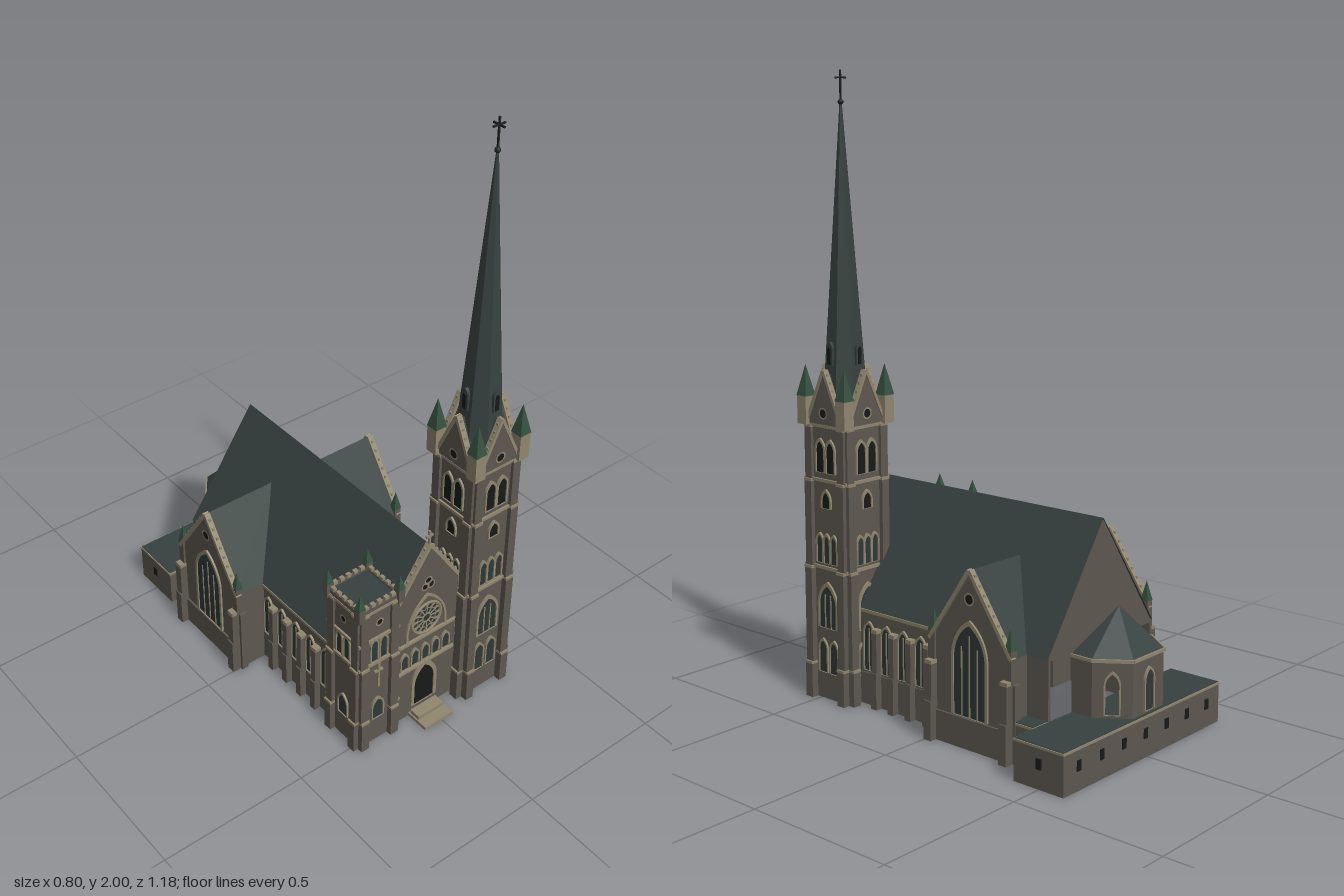
import * as THREE from 'three';

const mat = (name, color, opts = {}) => {
  const m = new THREE.MeshStandardMaterial({ color, side: THREE.DoubleSide, ...opts });
  m.name = name;
  return m;
};

export function createModel() {
  const stone = mat('stone', 0x5f5851), trim = mat('pale stone', 0x91876f);
  const slate = mat('slate', 0x36413f, { flatShading: true }), copper = mat('copper', 0x34503f, { flatShading: true });
  const glass = mat('glass', 0x2f3938), dark = mat('dark opening', 0x181a1a), iron = mat('iron', 0x1f2322);
  const model = new THREE.Group();
  const CX = -0.015, HALF = 0.2525, EAVE = 0.32, RIDGE = 0.69, FRONT = 0.505, BACK = -0.405;

  // ---- helpers ----
  const group = (name, parent, x = 0, y = 0, z = 0, ry = 0) => {
    const g = new THREE.Group();
    g.name = name;
    g.position.set(x, y, z);
    g.rotation.y = ry;
    parent.add(g);
    return g;
  };
  const add = (p, name, geo, m, x = 0, y = 0, z = 0) => {
    const mesh = new THREE.Mesh(geo, m);
    mesh.name = name;
    mesh.position.set(x, y, z);
    p.add(mesh);
    return mesh;
  };
  // box given by its base height
  const box = (p, name, m, x, y, z, w, h, d) => add(p, name, new THREE.BoxGeometry(w, h, d), m, x, y + h / 2, z);
  const poly = (pts) => new THREE.Shape(pts.map(([x, y]) => new THREE.Vector2(x, y)));
  const plate = (shape, depth) => new THREE.ExtrudeGeometry(shape, { depth, bevelEnabled: false, curveSegments: 5 });
  // surface from flat quads or triangles of corner points
  const surface = (faces) => {
    const v = [];
    for (const f of faces) for (let i = 1; i < f.length - 1; i++) v.push(...f[0], ...f[i], ...f[i + 1]);
    const g = new THREE.BufferGeometry();
    g.setAttribute('position', new THREE.Float32BufferAttribute(v, 3));
    g.computeVertexNormals();
    return g;
  };
  const arch = (w, h, Path = THREE.Shape) => {
    const s = new Path(), r = w / 2, sp = h - w * 0.866;
    s.moveTo(-r, 0);
    s.lineTo(r, 0);
    s.lineTo(r, sp);
    s.absarc(-r, sp, w, 0, Math.PI / 3, false);
    s.absarc(r, sp, w, Math.PI * 2 / 3, Math.PI, false);
    s.lineTo(-r, 0);
    return s;
  };
  // pointed window facing +z with surround and mullions
  const lancet = (p, x, y, z, w, h, bars = 0, edge = 0.005, m = glass) => {
    const g = group('window', p, x, y, z);
    const rim = arch(w + 2 * edge, h + edge * 1.8);
    rim.holes.push(arch(w, h, THREE.Path));
    add(g, 'windowSurround', plate(rim, 0.007), trim);
    add(g, 'windowGlass', plate(arch(w, h), 0.003), m);
    for (let i = 1; i <= bars; i++) {
      const bx = -w / 2 + (w * i) / (bars + 1);
      box(g, 'mullion', trim, bx, 0, 0.003, 0.004, h * (0.95 - 0.5 * Math.abs(bx) / w) - w * 0.15, 0.005);
    }
  };
  const roundel = (p, x, y, z, r) => {
    add(p, 'roundelRim', new THREE.RingGeometry(r, r + 0.005, 16), trim, x, y, z + 0.005);
    add(p, 'roundelGlass', new THREE.CircleGeometry(r, 16), dark, x, y, z + 0.004);
  };
  const pinnacle = (p, x, y, z, w, h, tip, m = stone) => {
    const g = group('pinnacle', p, x, y, z);
    box(g, 'pinnacleBlock', m, 0, 0, 0, w, h, w);
    const c = add(g, 'pinnacleCap', new THREE.ConeGeometry(w * 0.75, tip, 4), copper, 0, h + tip / 2, 0);
    c.rotation.y = Math.PI / 4;
  };
  // pale coping with small crockets on both slopes of a gable
  const coping = (p, half, y0, y1, z, t = 0.012, n = 8) => {
    const len = Math.hypot(half, y1 - y0), a = Math.atan2(y1 - y0, half);
    for (const s of [-1, 1]) {
      const c = add(p, 'gableCoping', new THREE.BoxGeometry(len, t, 0.02), trim, s * half / 2, (y0 + y1) / 2, z);
      c.rotation.z = -s * a;
      for (let i = 1; i < n; i++)
        box(p, 'crocket', trim, s * half * i / n, y1 - (y1 - y0) * i / n + t * 0.5, z, 0.006, 0.009, 0.008);
    }
  };

  // ---- nave: open shell of walls and a steep roof ----
  const nave = group('nave', model);
  const house = (half, eave, top) => poly([[-half, 0], [half, 0], [half, eave], [0, top], [-half, eave]]);
  add(nave, 'frontWall', plate(house(HALF, EAVE, RIDGE), 0.01), stone, CX, 0, FRONT - 0.01);
  add(nave, 'backGable', plate(poly([[-HALF, EAVE - 0.01], [HALF, EAVE - 0.01], [0, RIDGE - 0.005]]), 0.005), stone, CX, 0, BACK);
  const slope = (s) => [[CX, RIDGE, FRONT - 0.004], [CX + s * (HALF + 0.003), EAVE - 0.004, FRONT - 0.004],
    [CX + s * (HALF + 0.003), EAVE - 0.004, BACK], [CX, RIDGE, BACK]];
  add(nave, 'naveRoof', surface([slope(1), slope(-1).reverse()]), slate);
  for (const s of [-1, 1]) {
    const x = CX + s * (HALF - 0.005);
    box(nave, 'sideWall', stone, x, 0, FRONT / 2, 0.01, EAVE, FRONT);
    box(nave, 'rearSideWall', stone, x, 0, -0.365, 0.01, EAVE, 0.08);
    box(nave, 'cornice', trim, x + s * 0.004, 0.305, 0.185, 0.012, 0.01, 0.37);
    box(nave, 'plinth', stone, x + s * 0.003, 0, 0.185, 0.012, 0.105, 0.37);
    const side = group('naveSide', nave, CX + s * HALF, 0, 0, s * Math.PI / 2);
    for (const z of [0.33, 0.2525, 0.1775, 0.1025, 0.03]) lancet(side, -s * z, 0.115, 0, 0.042, 0.155, 1);
    for (const z of [0.29, 0.215, 0.14, 0.065]) {
      box(side, 'buttress', stone, -s * z, 0, 0.01, 0.022, 0.25, 0.026);
      box(side, 'buttressFoot', stone, -s * z, 0, 0.012, 0.024, 0.12, 0.03);
      box(side, 'buttressCap', trim, -s * z, 0.25, 0.009, 0.024, 0.012, 0.026);
    }
  }

  // ---- transepts ----
  const TZ = -0.1625, TH = 0.1625, TE = 0.315, TR = 0.553;
  for (const [s, xo] of [[1, 0.305], [-1, -0.37]]) {
    const t = group('transept', model), xe = CX + s * HALF, xi = CX + s * 0.095;
    for (const z of [-0.005, -0.32]) box(t, 'transeptSideWall', stone, (xo + xe) / 2, 0, z, Math.abs(xo - xe), TE, 0.01);
    const f = (d) => [[xo, TR, TZ], [xo, TE, TZ + d], [xe, TE, TZ + d], [xi, TR, TZ]];
    const faces = [f(TH), f(-TH)];
    faces[s > 0 ? 0 : 1].reverse();
    faces.forEach((q) => q.reverse());
    add(t, 'transeptRoof', surface(faces), slate);
    const g = group('transeptFront', t, xo, 0, TZ, s * Math.PI / 2);
    add(g, 'transeptWall', plate(house(TH, TE, TR), 0.01), stone, 0, 0, -0.01);
    coping(g, TH, TE, TR, -0.002, 0.012, 9);
    lancet(g, 0, 0.1, 0, 0.125, 0.285, 3, 0.009);
    roundel(g, 0, 0.465, 0, 0.015);
    box(g, 'transeptPlinth', stone, 0, 0, 0.002, 0.32, 0.095, 0.01);
    for (const k of [-1, 1]) {
      box(g, 'cornerButtress', stone, k * 0.15, 0, 0.008, 0.028, 0.24, 0.036);
      box(g, 'cornerButtressFoot', stone, k * 0.15, 0, 0.014, 0.03, 0.125, 0.034);
      box(g, 'buttressCap', trim, k * 0.15, 0.24, 0.008, 0.028, 0.012, 0.034);
      box(g, 'returnButtress', stone, k * 0.166, 0, -0.012, 0.016, 0.24, 0.024);
      pinnacle(g, k * 0.152, 0.24, -0.006, 0.026, 0.1, 0.065);
    }
  }

  // ---- west front between the towers ----
  const front = group('westFront', model, CX, 0, FRONT);
  coping(front, 0.13, 0.5, 0.69, 0.0, 0.012, 8);
  box(front, 'gableCrossPost', trim, 0, 0.685, 0, 0.007, 0.055, 0.007);
  box(front, 'gableCrossArm', trim, 0, 0.718, 0, 0.026, 0.007, 0.007);
  for (const y of [0.205, 0.32]) box(front, 'stringCourse', trim, 0, y, 0.003, 0.24, 0.008, 0.012);
  for (let i = -2; i <= 2; i++) lancet(front, i * 0.042, 0.222, 0, 0.026, 0.06);
  lancet(front, 0, 0.04, 0, 0.08, 0.155, 0, 0.012, dark);
  const roseArch = arch(0.165, 0.165);
  roseArch.holes.push(arch(0.148, 0.155, THREE.Path));
  add(front, 'roseArch', plate(roseArch, 0.006), trim, 0, 0.33, 0);
  const rose = group('roseWindow', front, 0, 0.395, 0.003);
  add(rose, 'roseGlass', new THREE.CircleGeometry(0.058, 32), glass);
  add(rose, 'roseRim', new THREE.TorusGeometry(0.058, 0.005, 6, 32), trim);
  add(rose, 'roseHub', new THREE.TorusGeometry(0.016, 0.003, 6, 16), trim);
  for (let i = 0; i < 12; i++) {
    const a = i * Math.PI / 6;
    add(rose, 'roseSpoke', new THREE.BoxGeometry(0.04, 0.004, 0.004), trim, Math.cos(a) * 0.037, Math.sin(a) * 0.037, 0).rotation.z = a;
    add(rose, 'rosePetal', new THREE.TorusGeometry(0.009, 0.002, 4, 10), trim, Math.cos(a + 0.26) * 0.045, Math.sin(a + 0.26) * 0.045, 0);
  }
  for (let i = 0; i < 3; i++) {
    const a = Math.PI / 2 + i * Math.PI * 2 / 3;
    roundel(front, Math.cos(a) * 0.013, 0.535 + Math.sin(a) * 0.013, 0, 0.011);
  }
  box(front, 'lowerStep', trim, 0, 0, 0.042, 0.115, 0.012, 0.084);
  box(front, 'upperStep', trim, 0, 0.012, 0.025, 0.105, 0.014, 0.04);

  // ---- towers ----
  const tower = (name, x, z, half, h, bands, steps, decorate) => {
    const t = group(name, model, x, 0, z);
    box(t, 'towerBody', stone, 0, 0, 0, half * 2, h, half * 2);
    for (const y of bands) box(t, 'stringCourse', trim, 0, y, 0, half * 2 + 0.014, 0.01, half * 2 + 0.014);
    for (let k = 0; k < 4; k++) {
      const f = group('towerFace', t, 0, 0, 0, k * Math.PI / 2);
      for (const s of [-1, 1]) for (const [y0, y1, d] of steps) {
        box(f, 'towerButtress', stone, s * (half - 0.014), y0, half + d / 2, 0.03, y1 - y0, d);
        box(f, 'buttressCap', trim, s * (half - 0.014), y1 - 0.008, half + d / 2, 0.032, 0.009, d + 0.002);
      }
      decorate(f, k);
    }
    return t;
  };

  // tall tower with gables and spire
  const H = 0.0875;
  const tall = tower('tallTower', 0.205, 0.46, H, 0.93, [0.435, 0.72, 0.895],
    [[0, 0.12, 0.024], [0.12, 0.44, 0.019], [0.44, 0.725, 0.014], [0.725, 0.9, 0.01]], (f) => {
      for (const s of [-1, 1]) {
        lancet(f, s * 0.025, 0.09, H, 0.034, 0.105);
        lancet(f, s * 0.023, 0.75, H, 0.034, 0.1, 0, 0.006, dark);
      }
      lancet(f, 0, 0.24, H, 0.075, 0.14, 2, 0.008);
      for (let i = -1; i <= 1; i++) lancet(f, i * 0.032, 0.455, H, 0.024, 0.09);
      lancet(f, 0, 0.635, H, 0.034, 0.052, 0, 0.006, dark);
      // face gable with a small roof running back to the spire
      add(f, 'towerGable', plate(poly([[-0.08, 0.9], [0.08, 0.9], [0, 1.075]]), 0.008), stone, 0, 0, H - 0.002);
      add(f, 'towerGableRoof', plate(poly([[-0.075, 0.9], [0.075, 0.9], [0, 1.065]]), H - 0.002), slate);
      coping(f, 0.08, 0.905, 1.078, H, 0.01, 7);
      roundel(f, 0, 0.942, H + 0.006, 0.014);
      pinnacle(f, 0.088, 0.9, 0.088, 0.04, 0.09, 0.1, trim);
      // spire lucarne
      const l = group('lucarne', f, 0, 1.09, 0.045);
      add(l, 'lucarneBody', plate(arch(0.026, 0.075), 0.022), slate);
      add(l, 'lucarneOpening', plate(arch(0.014, 0.055), 0.003), dark, 0, 0.005, 0.021);
    });
  const spire = add(tall, 'spire', new THREE.CylinderGeometry(0.004, 0.0807, 1.0, 8), slate, 0, 1.4, 0);
  spire.rotation.y = Math.PI / 8;
  add(tall, 'finialBall', new THREE.SphereGeometry(0.009, 10, 8), iron, 0, 1.903, 0);
  box(tall, 'crossPost', iron, 0, 1.9, 0, 0.005, 0.1, 0.005);
  box(tall, 'crossArm', iron, 0, 1.974, 0, 0.044, 0.005, 0.005);
  box(tall, 'crossArm', iron, 0, 1.974, 0, 0.005, 0.005, 0.044);

  // low tower with battlements
  const L = 0.073;
  const low = tower('lowTower', -0.215, 0.443, L, 0.565, [0.335, 0.435, 0.55],
    [[0, 0.12, 0.019], [0.12, 0.34, 0.014], [0.34, 0.555, 0.009]], (f, k) => {
      lancet(f, 0, 0.1, L, 0.04, 0.08);
      for (const s of [-1, 1]) lancet(f, s * 0.018, 0.35, L, 0.024, 0.085);
      roundel(f, 0, 0.502, L, 0.01);
      if (k === 0) {
        box(f, 'wallCrossPost', trim, 0, 0.235, L + 0.004, 0.007, 0.1, 0.008);
        box(f, 'wallCrossArm', trim, 0, 0.298, L + 0.004, 0.032, 0.007, 0.008);
      }
      box(f, 'parapet', stone, 0, 0.56, L, 0.15, 0.018, 0.01);
      for (let i = -2; i <= 2; i++) box(f, 'merlon', trim, i * 0.026, 0.576, L, 0.015, 0.012, 0.012);
      pinnacle(f, L + 0.003, 0.545, L + 0.003, 0.024, 0.05, 0.048);
    });
  box(low, 'lowTowerRoof', slate, 0, 0.563, 0, 0.14, 0.006, 0.14);

  // ---- apse with open diagonal windows ----
  const apse = group('apse', model);
  const plan = [[-0.16, BACK], [-0.16, -0.48], [-0.09, -0.577], [0.06, -0.577], [0.13, -0.48], [0.13, BACK]];
  const apex = [CX, 0.434, -0.466], roof = [];
  for (let i = 0; i < 5; i++) {
    const [ax, az] = plan[i], [bx, bz] = plan[i + 1], len = Math.hypot(bx - ax, bz - az);
    const w = group('apseSide', apse, (ax + bx) / 2, 0, (az + bz) / 2, Math.atan2(bz - az, -(bx - ax)));
    const s = poly([[-len / 2, 0], [len / 2, 0], [len / 2, 0.31], [-len / 2, 0.31]]);
    if (i === 1 || i === 3) {
      const hole = new THREE.Path(arch(0.04, 0.125).getPoints(5).map((p) => p.add(new THREE.Vector2(0, 0.14))));
      s.holes.push(hole);
      const rim = arch(0.05, 0.134);
      rim.holes.push(arch(0.04, 0.125, THREE.Path));
      add(w, 'apseWindowSurround', plate(rim, 0.006), trim, 0, 0.14, 0);
    } else if (i === 2) lancet(w, 0, 0.14, 0, 0.04, 0.125);
    add(w, 'apseWall', new THREE.ShapeGeometry(s, 5), stone);
    box(w, 'apseCornice', trim, 0, 0.3, 0, len + 0.004, 0.01, 0.012);
    roof.push([apex, [bx, 0.31, bz], [ax, 0.31, az]]);
  }
  roof.push([apex, [-0.16, 0.31, BACK], [0.13, 0.31, BACK]]);
  add(apse, 'apseRoof', surface(roof), slate);

  // ---- low rear annex ----
  const annex = group('rearAnnex', model);
  for (const [x, z, w, d] of [[0.01, -0.4975, 0.77, 0.185], [0.27, -0.365, 0.07, 0.08]]) {
    box(annex, 'annexWalls', stone, x, 0, z, w - 0.004, 0.122, d - 0.004);
    box(annex, 'annexCoping', trim, x, 0.122, z, w, 0.007, d);
    box(annex, 'annexRoof', slate, x, 0.128, z, w - 0.007, 0.003, d - 0.007);
  }
  for (let i = -3; i <= 3; i++) box(annex, 'annexWindow', dark, 0.01 + i * 0.105, 0.06, -0.589, 0.018, 0.032, 0.004);
  for (const x of [-0.374, 0.394]) box(annex, 'annexEndWindow', dark, x, 0.06, -0.5, 0.004, 0.032, 0.018);
  return model;
}
